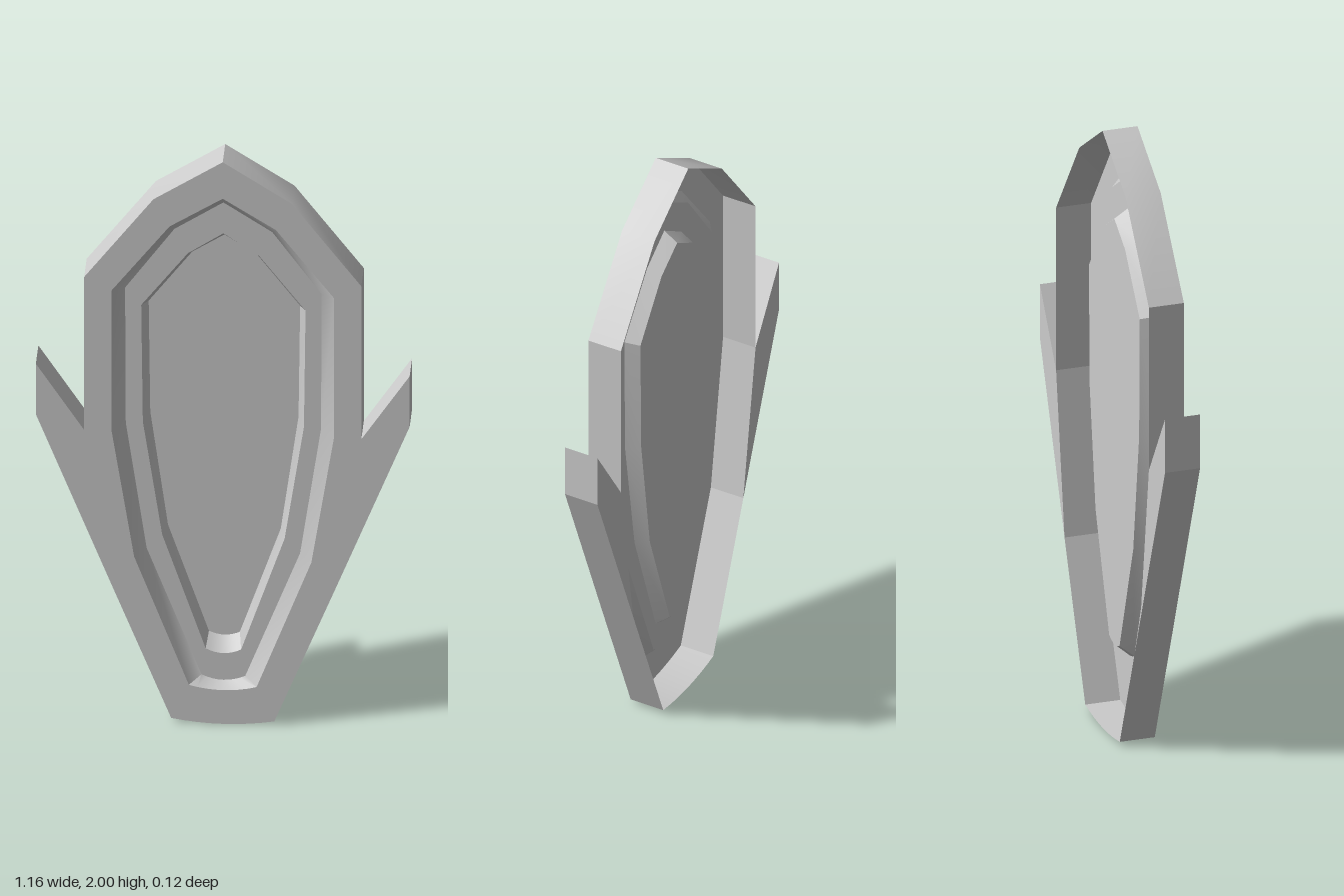
import * as THREE from 'three';
import { toCreasedNormals } from 'three/addons/utils/BufferGeometryUtils.js';

const FRONT = 0.0575, BACK = -0.0575, STEP = FRONT - 0.03, FLOOR = FRONT - 0.076;
const CREASE = Math.PI / 6;

// Closed symmetric loop: apex, down the +x side, across a bowed bottom, back up the -x side.
function makeLoop(side, bottomY) {
  const [cx, cy] = side[side.length - 1];
  const arc = [];
  for (let i = 1; i < 8; i++) {
    const t = 1 - i / 4;
    arc.push([cx * t, bottomY + (cy - bottomY) * t * t]);
  }
  const mirrored = side.slice(1).reverse().map(([x, y]) => [-x, y]);
  return [...side, ...arc, ...mirrored];
}

// Wall joining loop a (at depth za) to loop b (at depth zb).
function wall(a, za, b, zb, skip = []) {
  const pos = [], n = a.length;
  for (let i = 0; i < n; i++) {
    if (skip.includes(i)) continue;
    const j = (i + 1) % n;
    pos.push(...a[i], za, ...a[j], za, ...b[i], zb);
    pos.push(...a[j], za, ...b[j], zb, ...b[i], zb);
  }
  const g = new THREE.BufferGeometry();
  g.setAttribute('position', new THREE.Float32BufferAttribute(pos, 3));
  return toCreasedNormals(g, CREASE);
}

const vectors = (loop) => loop.map(([x, y]) => new THREE.Vector2(x, y));

// Flat panel at depth z, optionally with an opening.
function panel(loop, z, hole) {
  const shape = new THREE.Shape(vectors(loop));
  if (hole) shape.holes.push(new THREE.Path(vectors(hole)));
  return new THREE.ShapeGeometry(shape).translate(0, 0, z);
}

export function createModel() {
  const group = new THREE.Group();
  const material = new THREE.MeshStandardMaterial({ color: 0xcccccc, side: THREE.DoubleSide });
  const add = (name, geometry) => {
    const mesh = new THREE.Mesh(geometry, material);
    mesh.name = name;
    group.add(mesh);
  };

  const notch = [0.43, 1.03], hip = [0.352, 0.5];
  const outline = makeLoop([[0, 2], [0.215, 1.86], [0.43, 1.575], notch, hip, [0.16, 0.015]], 0);
  const rimOpening = makeLoop([[0, 1.87], [0.165, 1.765], [0.345, 1.53], [0.345, 1.03], [0.275, 0.585], [0.105, 0.135]], 0.12);
  const stepOuter = makeLoop([[0, 1.84], [0.152, 1.74], [0.305, 1.525], [0.303, 1.045], [0.238, 0.6], [0.068, 0.157]], 0.14);
  const stepOpening = makeLoop([[0, 1.73], [0.11, 1.655], [0.255, 1.465], [0.25, 1.05], [0.19, 0.65], [0.055, 0.25]], 0.235);
  const floorEdge = makeLoop([[0, 1.7], [0.1, 1.635], [0.235, 1.455], [0.23, 1.06], [0.175, 0.66], [0.048, 0.287]], 0.275);

  // Open-backed shell; the wings close the two skipped wall segments
  add('outerWall', wall(outline, FRONT, outline, BACK, [3, outline.length - 4]));
  add('frontRim', panel(outline, FRONT, rimOpening));

  // Two sloped steps pressed inwards
  add('upperStepWall', wall(stepOuter, STEP, rimOpening, FRONT));
  add('stepLedge', panel(stepOuter, STEP, stepOpening));
  add('lowerStepWall', wall(floorEdge, FLOOR, stepOpening, STEP));
  add('centrePanel', panel(floorEdge, FLOOR));

  // Pointed side wings
  for (const [name, s] of [['leftWing', 1], ['rightWing', -1]]) {
    const corners = [notch, [0.58, 1.26], [0.58, 1.08], hip].map(([x, y]) => [s * x, y]);
    const wing = new THREE.ExtrudeGeometry(new THREE.Shape(vectors(corners)), { depth: FRONT - BACK, bevelEnabled: false });
    add(name, wing.translate(0, 0, BACK));
  }
  return group;
}
